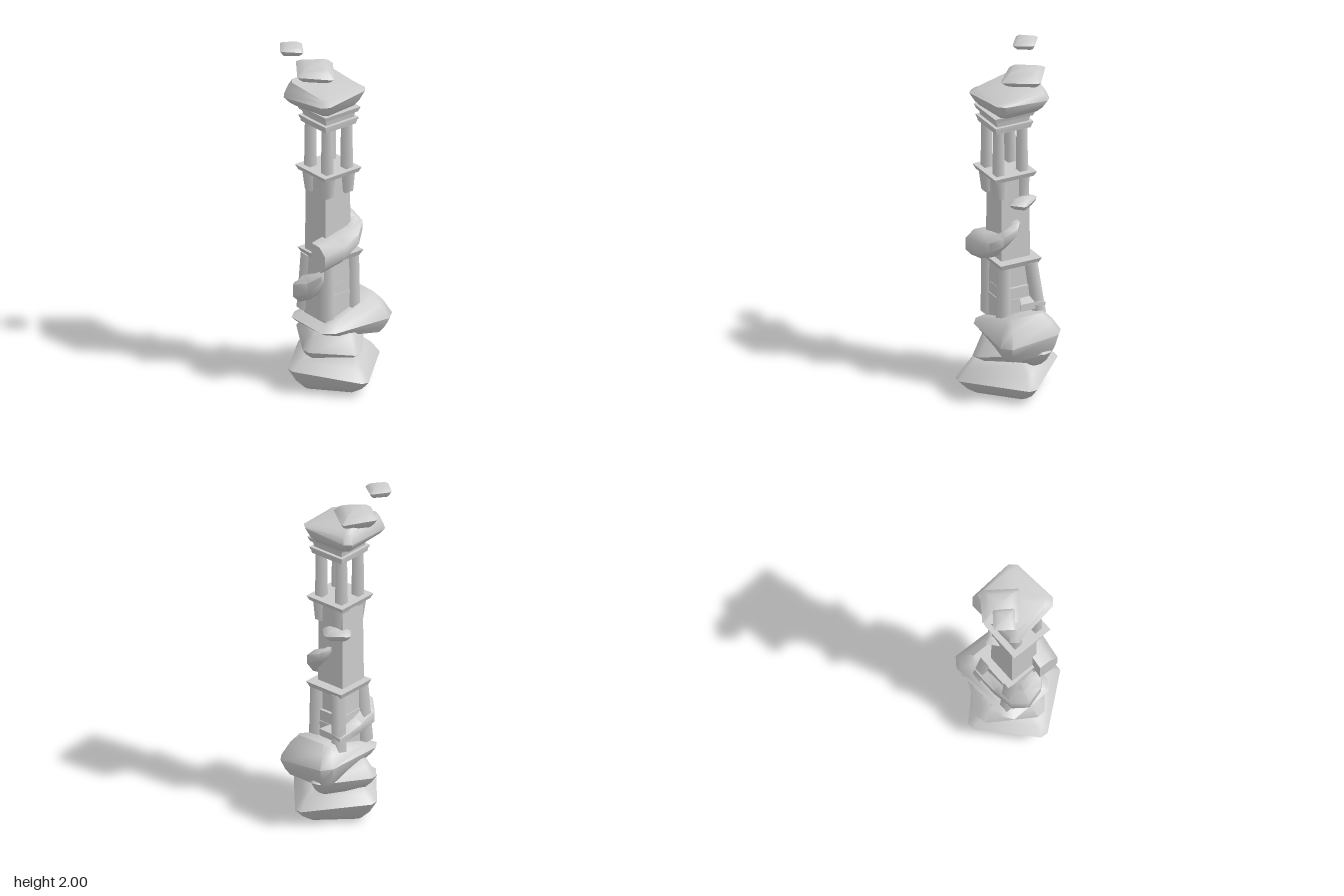
import * as THREE from 'three';
import { toCreasedNormals } from 'three/addons/utils/BufferGeometryUtils.js';

const material = new THREE.MeshStandardMaterial({ color: 0xcccccc });

export function createModel() {
  const group = new THREE.Group();

  function add(name, geometry, x = 0, y = 0, z = 0) {
    const mesh = new THREE.Mesh(geometry, material);
    mesh.name = name;
    mesh.position.set(x, y, z);
    group.add(mesh);
    return mesh;
  }

  // Closed skin through rings of points, with a fan at each end
  function loft(name, rings, endLift = 0) {
    const pos = [];
    const tri = (a, b, c) => pos.push(...a, ...b, ...c);
    const n = rings[0].length;
    const middle = (ring, lift) => {
      const m = [0, 1, 2].map((k) => ring.reduce((s, p) => s + p[k], 0) / n);
      m[1] += lift;
      return m;
    };
    const last = rings[rings.length - 1];
    const start = middle(rings[0], 0), end = middle(last, endLift);
    for (let i = 0; i < n; i++) {
      const j = (i + 1) % n;
      for (let r = 0; r + 1 < rings.length; r++) {
        const a = rings[r], b = rings[r + 1];
        tri(a[i], a[j], b[j]);
        tri(a[i], b[j], b[i]);
      }
      tri(start, rings[0][j], rings[0][i]);
      tri(end, last[i], last[j]);
    }
    const geometry = new THREE.BufferGeometry();
    geometry.setAttribute('position', new THREE.Float32BufferAttribute(pos, 3));
    return add(name, toCreasedNormals(geometry, 1));
  }

  // Boulder: four waist corners (left, front, right, back), bevelled, with
  // a shrunken foot and a shrunken top, both sloping planes [y, slopeX, slopeZ]
  function rock(name, corners, foot, footScale, top, topScale, cut = 0.1) {
    const c = [0, 1, 2].map((k) => corners.reduce((s, p) => s + p[k], 0) / 4);
    const mix = (a, b, t) => a.map((v, k) => v + (b[k] - v) * t);
    const waist = corners.flatMap((p, i) => [
      mix(p, corners[(i + 3) % 4], cut), mix(p, corners[(i + 1) % 4], cut)]);
    const plane = ([y, sx, sz], s) => waist.map((p) => {
      const dx = (p[0] - c[0]) * s, dz = (p[2] - c[2]) * s;
      return [c[0] + dx, y + sx * dx + sz * dz, c[2] + dz];
    });
    // Slightly swollen ring between the waist and an end
    const shoulder = (ring) => waist.map((p, i) => {
      const m = mix(p, ring[i], 0.5);
      m[1] += (ring[i][1] - p[1]) * 0.12;
      return m;
    });
    const low = plane(foot, footScale), high = plane(top, topScale);
    loft(name, [low, shoulder(low), waist, shoulder(high), high], 0.006);
  }

  // Square slab, flared from its bottom half-width to its top half-width
  function slab(name, x, z, y0, y1, half0, half1) {
    const g = new THREE.CylinderGeometry(half1 * Math.SQRT2, half0 * Math.SQRT2, y1 - y0, 4);
    g.rotateY(Math.PI / 4);
    return add(name, toCreasedNormals(g, 0.5), x, (y0 + y1) / 2, z);
  }

  // Square post with soft shading between two points, by half-widths
  function post(name, a, b, half0, half1) {
    const from = new THREE.Vector3(...a), to = new THREE.Vector3(...b);
    const dir = to.clone().sub(from);
    const g = new THREE.CylinderGeometry(half1 * Math.SQRT2, half0 * Math.SQRT2, dir.length(), 4);
    g.rotateY(Math.PI / 4);
    const mesh = add(name, g);
    mesh.position.copy(from).add(to).multiplyScalar(0.5);
    mesh.quaternion.setFromUnitVectors(new THREE.Vector3(0, 1, 0), dir.normalize());
  }

  // Stacked boulders at the foot
  rock('baseBoulder',
    [[-0.32, 0.135, -0.03], [-0.035, 0.09, 0.32], [0.32, 0.09, 0], [0.005, 0.13, -0.32]],
    [0, 0, 0], 0.64, [0.205, 0, -0.02], 0.64, 0.07);
  rock('middleBoulder',
    [[-0.245, 0.24, 0.02], [0, 0.22, 0.225], [0.305, 0.29, -0.11], [-0.05, 0.26, -0.285]],
    [0.18, 0.06, 0], 0.72, [0.36, 0, 0], 0.62);
  rock('upperBoulder',
    [[-0.19, 0.38, -0.19], [-0.18, 0.36, 0.14], [0.295, 0.36, 0.175], [0.295, 0.4, -0.205]],
    [0.3, -0.18, 0], 0.8, [0.458, 0.3, -0.02], 0.62, 0.12);

  // Main shaft with a thicker plinth between the lower columns
  slab('shaft', -0.036, -0.022, 0.4, 1.27, 0.093, 0.085);
  slab('plinth', -0.022, -0.024, 0.4, 0.62, 0.096, 0.095);
  slab('plinthLedge', -0.022, -0.024, 0.53, 0.555, 0.1, 0.1);

  // Lower columns; the back left one leans outward
  for (const [x0, z0, x1, z1] of [
    [-0.113, 0.062, -0.111, 0.062], [0.07, 0.064, 0.068, 0.06],
    [-0.113, -0.135, -0.111, -0.105], [0.116, -0.14, 0.078, -0.103]]) {
    post('lowerColumn', [x0, 0.42, z0], [x1, 0.76, z1], 0.029, 0.027);
  }
  slab('lowerPlatform', -0.015, -0.025, 0.755, 0.788, 0.113, 0.128);

  // Open pavilion: corner brackets, platform, four columns
  for (const x of [-0.114, 0.023]) {
    for (const z of [0.068, -0.077]) {
      post('bracket', [x + 0.003, 1.155, z * 0.92], [x, 1.275, z], 0.026, 0.033);
      post('upperColumn', [x, 1.29, z], [x, 1.57, z], 0.025, 0.022);
    }
  }
  slab('upperPlatform', -0.045, -0.007, 1.272, 1.3, 0.118, 0.13);

  // Stepped capital
  slab('capitalStep', -0.045, -0.005, 1.563, 1.588, 0.107, 0.112);
  slab('capitalStep', -0.045, -0.005, 1.588, 1.602, 0.115, 0.117);
  slab('capitalStep', -0.045, -0.005, 1.602, 1.636, 0.098, 0.105);
  slab('capitalTop', -0.045, -0.005, 1.636, 1.664, 0.115, 0.125);

  // Boulders on top and floating above
  rock('capBoulder',
    [[-0.24, 1.71, -0.195], [-0.195, 1.735, 0.155], [0.14, 1.755, 0.12], [0.125, 1.73, -0.215]],
    [1.66, 0, 0], 0.72, [1.782, 0, -0.16], 0.8, 0.1);
  rock('smallBoulder',
    [[-0.18, 1.83, -0.11], [-0.03, 1.82, 0.03], [0.103, 1.83, -0.15], [-0.06, 1.845, -0.27]],
    [1.79, 0, 0], 0.7, [1.868, 0.03, 0], 0.58, 0.06);
  rock('floatingStone',
    [[-0.24, 1.978, -0.185], [-0.14, 1.97, -0.105], [-0.07, 1.975, -0.205], [-0.165, 1.98, -0.28]],
    [1.945, 0, 0], 0.72, [1.994, 0, 0], 0.62, 0.08);
  rock('sidePebble',
    [[-0.03, 1.12, -0.1], [0.06, 1.12, 0.03], [0.13, 1.12, -0.045], [0.045, 1.125, -0.165]],
    [1.088, 0, 0], 0.62, [1.146, 0, 0], 0.62, 0.1);

  // Rock ribbon swept round the shaft: each station holds the outer and inner
  // edge [x, z] and the bottom and top height, with a bulging outer face
  function ribbon(name, stations) {
    const rings = stations.map(([xo, zo, xi, zi, y0, y1]) => {
      const at = (t, h) => [xi + (xo - xi) * t, y0 + (y1 - y0) * h, zi + (zo - zi) * t];
      return [at(0, 0), at(0.72, 0), at(1, 0.25), at(1, 0.72), at(0.6, 1), at(0, 1)];
    });
    loft(name, rings);
  }
  ribbon('frontRibbonRock', [
    [0.08, -0.035, 0.04, -0.03, 0.995, 1.02],
    [0.118, 0.0, 0.04, -0.005, 0.94, 1.015],
    [0.118, 0.09, 0.03, 0.03, 0.88, 0.985],
    [0.05, 0.14, 0.02, 0.04, 0.82, 0.945],
    [-0.06, 0.167, -0.06, 0.04, 0.775, 0.925],
    [-0.2, 0.152, -0.195, 0.03, 0.74, 0.89]]);
  ribbon('backRibbonRock', [
    [-0.16, 0.075, -0.1, 0.055, 0.65, 0.71],
    [-0.215, 0.02, -0.1, 0.0, 0.55, 0.685],
    [-0.235, -0.08, -0.09, -0.05, 0.5, 0.655],
    [-0.17, -0.15, -0.07, -0.06, 0.48, 0.62],
    [-0.04, -0.168, -0.04, -0.06, 0.48, 0.585],
    [0.06, -0.168, 0.05, -0.05, 0.48, 0.56],
    [0.135, -0.163, 0.13, -0.01, 0.5, 0.54]]);

  return group;
}
